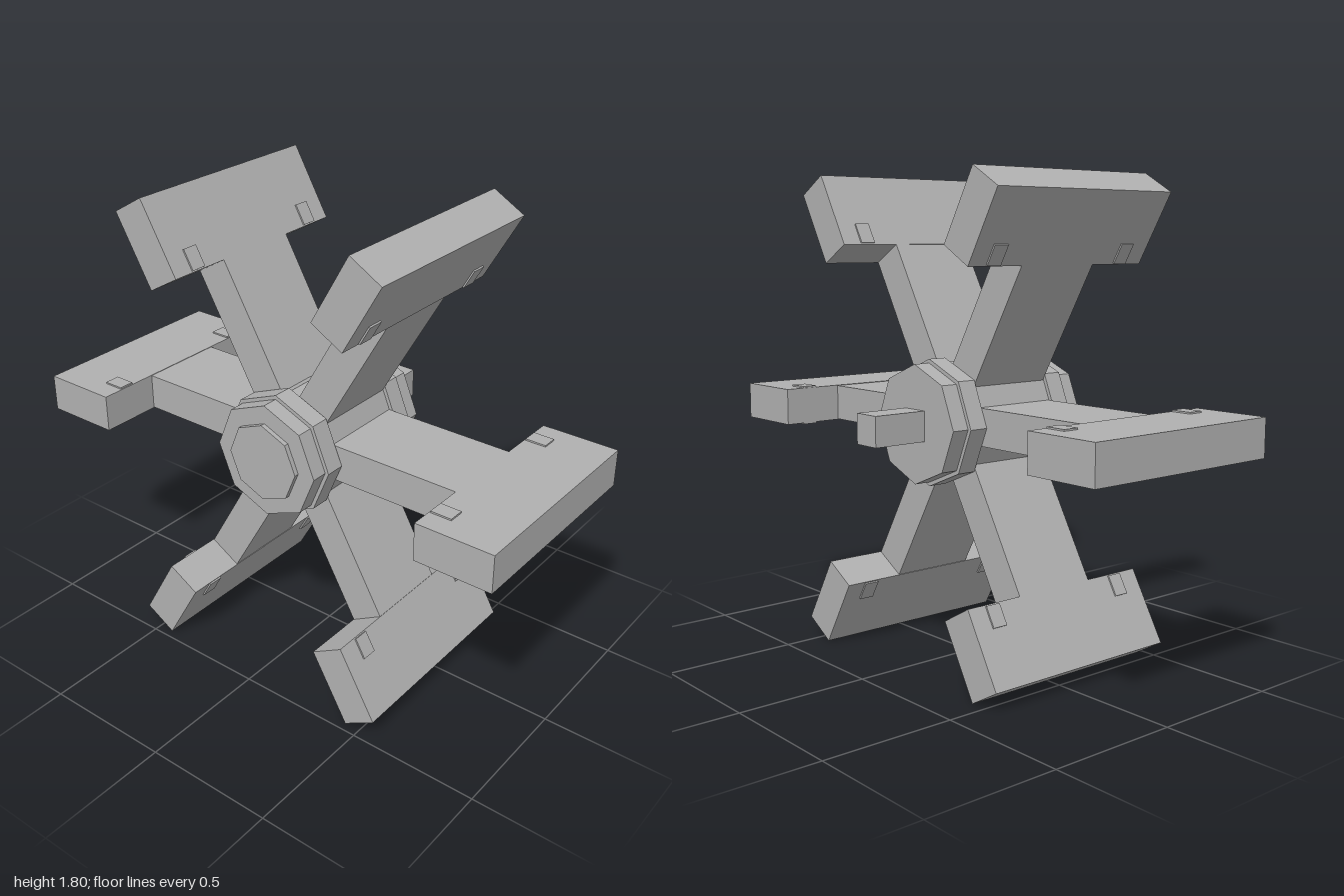
import * as THREE from 'three';

const grey = new THREE.MeshStandardMaterial({ color: 0xb0b0b0 });
grey.name = 'grey';

function add(parent, name, geometry) {
  const mesh = new THREE.Mesh(geometry, grey);
  mesh.name = name;
  parent.add(mesh);
  return mesh;
}

// Box given by its limits along each axis
function block(parent, name, x0, x1, y0, y1, z0, z1) {
  const mesh = add(parent, name, new THREE.BoxGeometry(x1 - x0, y1 - y0, z1 - z0));
  mesh.position.set((x0 + x1) / 2, (y0 + y1) / 2, (z0 + z1) / 2);
}

// Faceted octagonal disc along z, with a corner pointing up
function octagon(parent, name, radius, z0, z1) {
  const geometry = new THREE.CylinderGeometry(radius, radius, z1 - z0, 8).rotateX(Math.PI / 2).toNonIndexed();
  geometry.computeVertexNormals();
  add(parent, name, geometry).position.z = (z0 + z1) / 2;
}

export function createModel() {
  const model = new THREE.Group();
  model.name = 'paddleWheel';
  const wheel = new THREE.Group();
  wheel.name = 'wheel';
  wheel.position.y = 0.902;
  model.add(wheel);

  // Hub with two raised rings, a front cap and a square shaft at the back
  octagon(wheel, 'hub', 0.22, -0.254, 0.37);
  octagon(wheel, 'frontRing', 0.235, 0.232, 0.307);
  octagon(wheel, 'backRing', 0.235, -0.187, -0.113);
  octagon(wheel, 'frontCap', 0.15, 0.36, 0.388);
  block(wheel, 'shaft', -0.056, 0.056, -0.056, 0.056, -0.469, -0.24);

  // Six T-shaped paddles around the hub
  for (let i = 0; i < 6; i++) {
    const paddle = new THREE.Group();
    paddle.name = 'paddle';
    paddle.rotation.z = (i * Math.PI) / 3;
    wheel.add(paddle);
    block(paddle, 'stalk', 0.12, 0.72, -0.069, 0.069, -0.112, 0.228);
    block(paddle, 'blade', 0.705, 1, -0.071, 0.071, -0.352, 0.469);
    // Small clips standing proud of both blade faces
    for (const z of [-0.245, 0.357]) {
      block(paddle, 'clip', 0.71, 0.79, -0.077, 0.077, z - 0.03, z + 0.03);
    }
  }
  return model;
}
